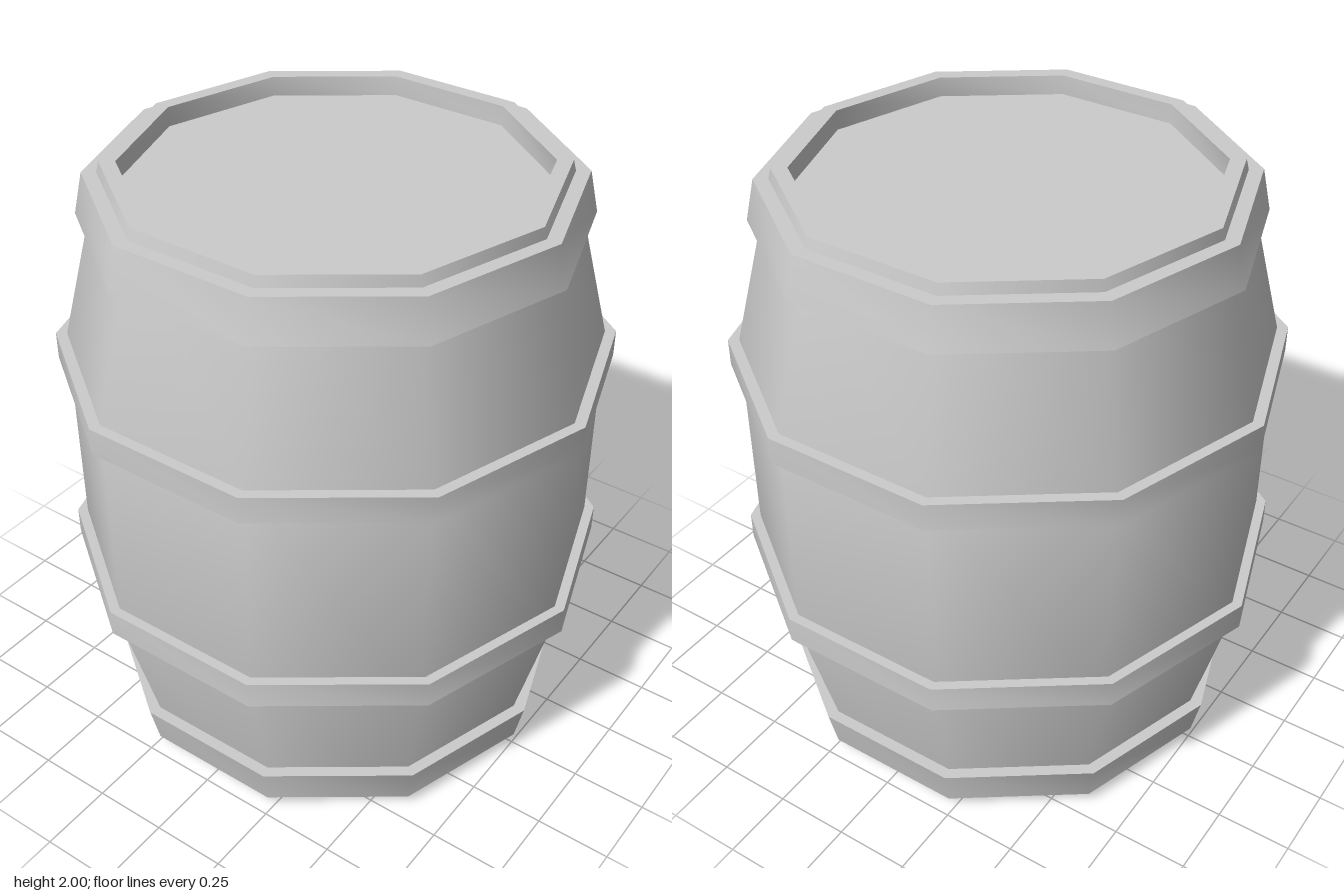
import * as THREE from 'three';
import { toCreasedNormals } from 'three/addons/utils/BufferGeometryUtils.js';

const SIDES = 10;
const material = new THREE.MeshStandardMaterial({ color: 0xcccccc });

// Ten-sided turned part: smooth around the barrel, sharp across its edges
function turned(name, profile) {
  const points = profile.map(([r, y]) => new THREE.Vector2(r, y));
  const geometry = toCreasedNormals(new THREE.LatheGeometry(points, SIDES), 0.9);
  const mesh = new THREE.Mesh(geometry, material);
  mesh.name = name;
  return mesh;
}

// Closed band; outer radii at its bottom and top, inner radii sunk into the staves
function hoop(name, y0, y1, r0, r1, in0, in1) {
  return turned(name, [[in0, y0], [r0, y0], [r1, y1], [in1, y1], [in0, y0]]);
}

// Flat end board
function lid(name, y, facing) {
  const geometry = new THREE.CircleGeometry(0.65, SIDES, Math.PI / 2);
  geometry.rotateX(-facing * Math.PI / 2);
  const mesh = new THREE.Mesh(geometry, material);
  mesh.name = name;
  mesh.position.y = y;
  return mesh;
}

export function createModel() {
  const barrel = new THREE.Group();
  barrel.name = 'barrel';

  // Staves with raised rims at both ends
  const recess = 0.065;
  barrel.add(turned('staves', [
    [0.65, recess], [0.65, 0], [0.70, 0], [0.855, 0.605],
    [0.855, 1.395], [0.70, 2], [0.65, 2], [0.65, 2 - recess],
  ]));

  // Recessed end boards
  barrel.add(lid('topLid', 2 - recess, 1), lid('bottomLid', recess, -1));

  // Tapered end hoops and straight middle hoops
  barrel.add(
    hoop('bottomHoop', 0.04, 0.175, 0.755, 0.785, 0.69, 0.72),
    hoop('lowerHoop', 0.60, 0.69, 0.888, 0.888, 0.84, 0.84),
    hoop('upperHoop', 1.315, 1.405, 0.888, 0.888, 0.84, 0.84),
    hoop('topHoop', 1.83, 1.965, 0.785, 0.755, 0.72, 0.69),
  );
  return barrel;
}
